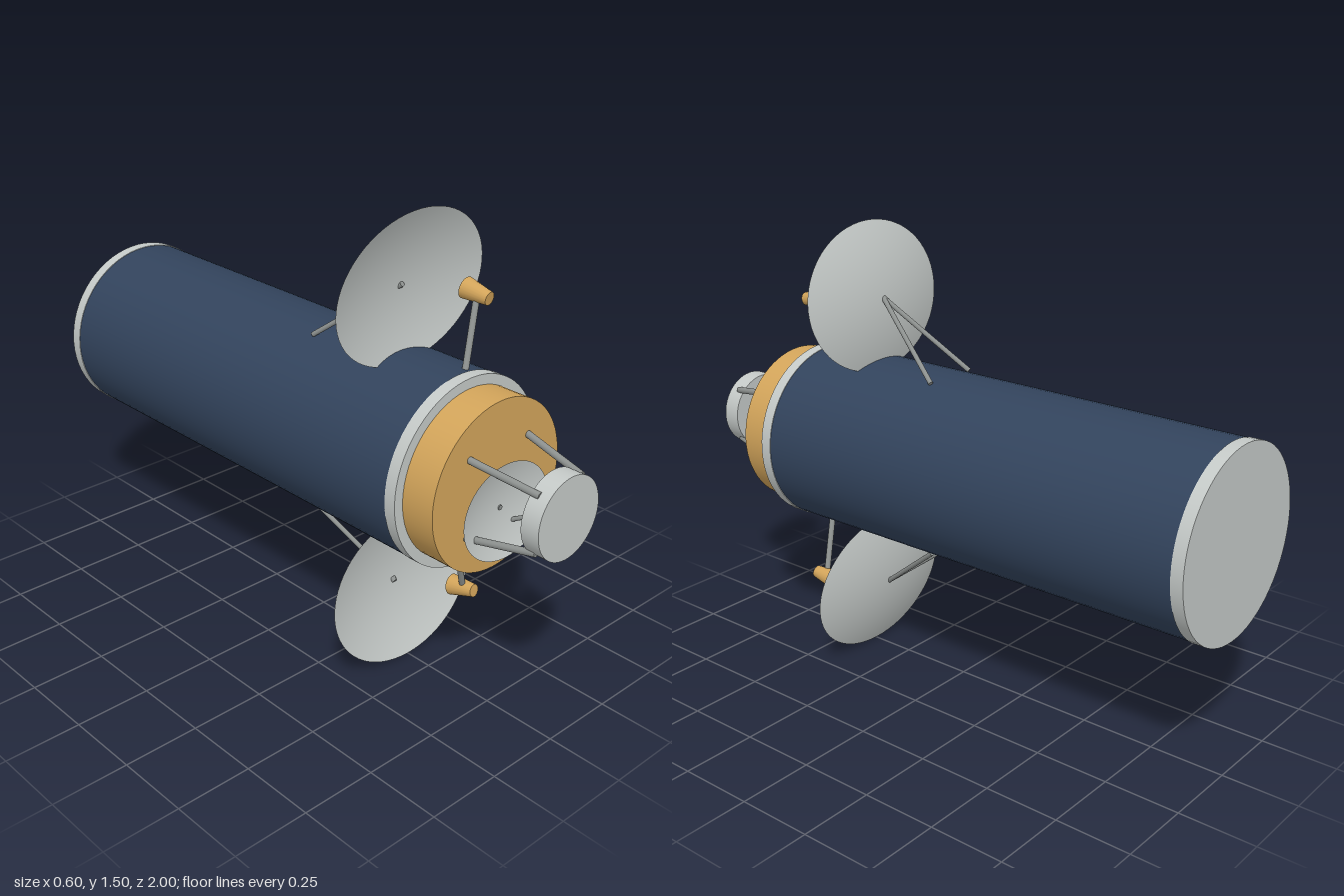
import * as THREE from 'three';

const material = (name, color, side = THREE.FrontSide) => {
  const m = new THREE.MeshStandardMaterial({ color, side });
  m.name = name;
  return m;
};

const AXIS_Y = 0.75; // height of the body's long axis

export function createModel() {
  const model = new THREE.Group();
  model.name = 'satellite';
  const white = material('pale grey', 0xc4c9c7, THREE.DoubleSide);
  const navy = material('navy panels', 0x32435c);
  const gold = material('gold foil', 0xd2a45a);
  const grey = material('strut grey', 0x8c908e);

  const add = (parent, name, geometry, mat) => {
    const mesh = new THREE.Mesh(geometry, mat);
    mesh.name = name;
    parent.add(mesh);
    return mesh;
  };

  // Cylinder along z on the body axis
  const drum = (name, radius, z0, z1, mat) => {
    const g = new THREE.CylinderGeometry(radius, radius, z1 - z0, 64).rotateX(Math.PI / 2);
    add(model, name, g, mat).position.set(0, AXIS_Y, (z0 + z1) / 2);
  };

  // Rod or cone running from point a to point b
  const rod = (parent, name, a, b, ra, rb, mat) => {
    const from = new THREE.Vector3(...a);
    const to = new THREE.Vector3(...b);
    const dir = to.clone().sub(from);
    const mesh = add(parent, name, new THREE.CylinderGeometry(rb, ra, dir.length(), 20), mat);
    mesh.position.copy(from).add(to).multiplyScalar(0.5);
    mesh.quaternion.setFromUnitVectors(new THREE.Vector3(0, 1, 0), dir.normalize());
  };

  // Shallow oval bowl opening towards +z, origin at the rim's centre
  const bowl = (parent, name, rx, ry, depth, y, z, tilt) => {
    const profile = [];
    for (let i = 0; i <= 14; i++) {
      const t = i / 14;
      profile.push(new THREE.Vector2(rx * t, depth * (t * t - 1)));
    }
    const g = new THREE.LatheGeometry(profile, 64).rotateX(Math.PI / 2).scale(1, ry / rx, 1);
    const mesh = add(parent, name, g, white);
    mesh.position.set(0, y, z);
    mesh.rotation.x = tilt;
  };

  // Main body, end rings, foil collar and front drum
  drum('body', 0.3, -0.96, 0.585, navy);
  drum('rearRing', 0.302, -1, -0.96, white);
  drum('frontRing', 0.302, 0.585, 0.625, white);
  drum('foilCollar', 0.27, 0.625, 0.74, gold);
  drum('frontDrum', 0.13, 0.938, 1, white);

  // Four struts carrying the front drum
  for (const sx of [-1, 1]) {
    for (const sy of [-1, 1]) {
      rod(model, 'drumStrut', [sx * 0.126, AXIS_Y + sy * 0.126, 0.73],
        [sx * 0.09, AXIS_Y + sy * 0.09, 0.965], 0.011, 0.011, grey);
    }
  }

  // Upper and lower dishes, mirrored about the body axis
  for (const s of [1, -1]) {
    const antenna = new THREE.Group();
    antenna.name = s > 0 ? 'upperAntenna' : 'lowerAntenna';
    model.add(antenna);
    const at = (x, h, z) => [x, AXIS_Y + s * h, z];
    bowl(antenna, 'dish', 0.3, 0.246, 0.046, AXIS_Y + s * 0.505, 0.379, s * 0.112);
    for (const sx of [-1, 1]) {
      rod(antenna, 'dishStrut', at(0, 0.506, 0.338), at(sx * 0.095, 0.29, 0.055), 0.008, 0.008, grey);
    }
    rod(antenna, 'feedStrut', at(0.035, 0.28, 0.565), at(0.122, 0.495, 0.522), 0.01, 0.01, grey);
    rod(antenna, 'feedHorn', at(0.128, 0.491, 0.565), at(0.121, 0.504, 0.478), 0.021, 0.034, gold);
  }

  // Small dish and feed between the collar and the front drum
  const small = new THREE.Group();
  small.name = 'frontAntenna';
  model.add(small);
  bowl(small, 'smallDish', 0.182, 0.148, 0.026, 0.683, 0.78, -0.075);
  rod(small, 'smallDishStrut', [0, 0.685, 0.735], [0, 0.685, 0.757], 0.008, 0.008, grey);
  rod(small, 'smallFeedStrut', [0.045, 0.615, 0.735], [0.075, 0.686, 0.868], 0.007, 0.007, grey);
  rod(small, 'smallFeedHorn', [0.077, 0.69, 0.9], [0.074, 0.688, 0.842], 0.013, 0.02, gold);

  return model;
}
